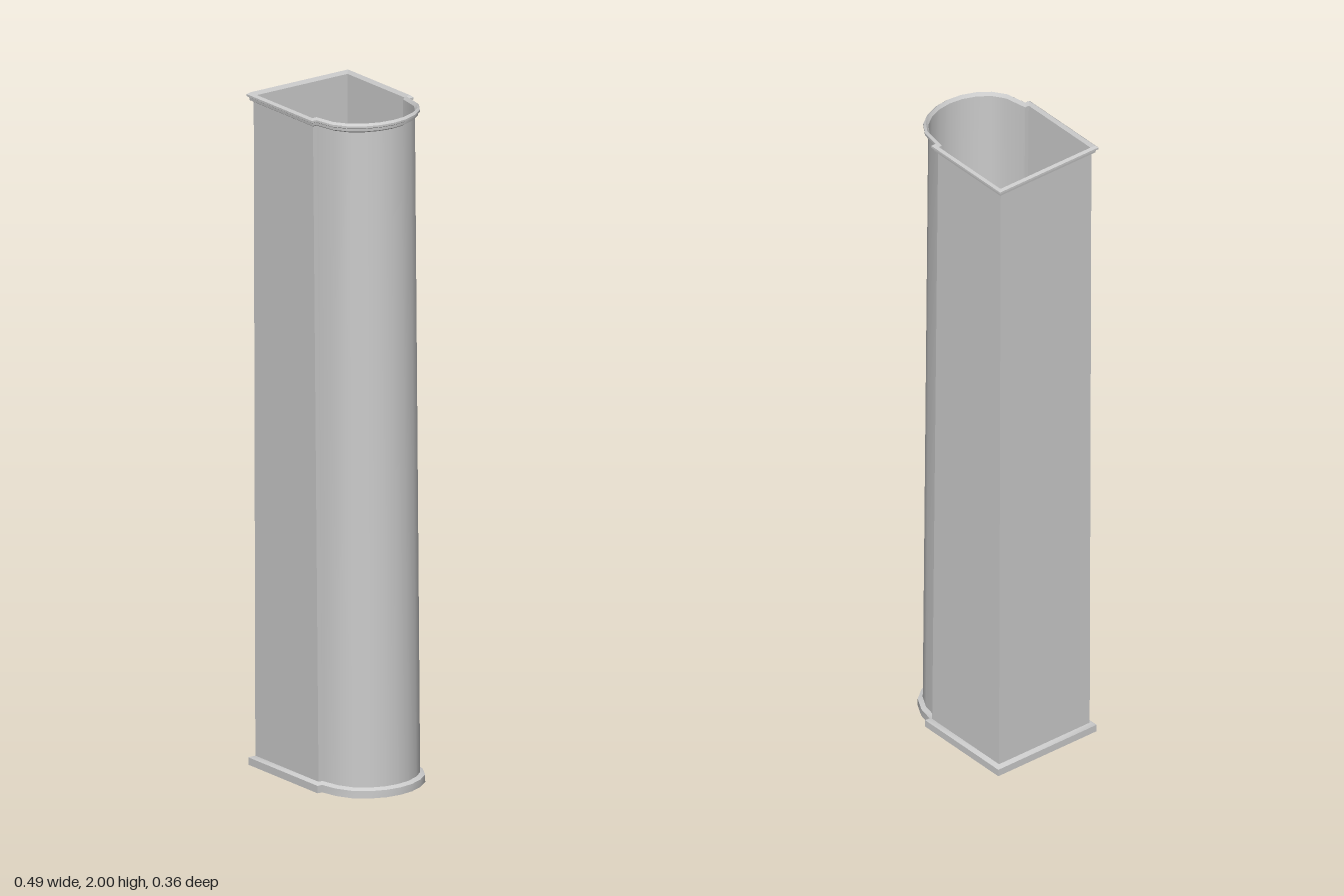
import * as THREE from 'three';
import { toCreasedNormals } from 'three/addons/utils/BufferGeometryUtils.js';

const HEIGHT = 2;

// Half outline from the flat end, past the small step, to the crown: [x at bottom, x at top, z]
const half = [
  [-0.221, -0.229, 0.166],
  [0.077, 0.050, 0.166],
  [0.077, 0.050, 0.153],
  [0.136, 0.119, 0.140],
  [0.180, 0.155, 0.116],
  [0.206, 0.180, 0.082],
  [0.223, 0.196, 0.041],
  [0.228, 0.201, 0],
];
const outline = [...half, ...half.slice(0, -1).reverse().map(([b, t, z]) => [b, t, -z])];

// Closed outline at a height, pushed outwards with mitred corners
function ring(y, offset) {
  const pts = outline.map(([b, t, z]) => new THREE.Vector2(THREE.MathUtils.lerp(b, t, y / HEIGHT), z));
  const n = pts.length;
  const normals = pts.map((p, i) => {
    const d = pts[(i + 1) % n].clone().sub(p).normalize();
    return new THREE.Vector2(-d.y, d.x);
  });
  return pts.map((p, i) => {
    const a = normals[(i + n - 1) % n], b = normals[i];
    const q = p.clone().addScaledVector(a.clone().add(b), offset / (1 + a.dot(b)));
    return [q.x, y, q.y];
  });
}

// Skin a profile of [height, outward offset] around the outline
function sweep(name, profile, material) {
  const rings = profile.map(([y, o]) => ring(y, o));
  const n = outline.length;
  const index = [];
  for (let j = 0; j < rings.length - 1; j++) {
    for (let i = 0; i < n; i++) {
      const k = (i + 1) % n;
      const a = j * n + i, b = j * n + k, c = b + n, d = a + n;
      index.push(a, b, c, a, c, d);
    }
  }
  const geometry = new THREE.BufferGeometry();
  geometry.setAttribute('position', new THREE.Float32BufferAttribute(rings.flat(2), 3));
  geometry.setIndex(index);
  const mesh = new THREE.Mesh(toCreasedNormals(geometry, THREE.MathUtils.degToRad(38)), material);
  mesh.name = name;
  return mesh;
}

export function createModel() {
  const group = new THREE.Group();
  group.name = 'column';
  const stone = new THREE.MeshStandardMaterial({ color: 0xcccccc, side: THREE.DoubleSide });
  stone.name = 'pale grey';

  // Hollow leaning shaft, open at both ends
  group.add(sweep('shaft', [[0, 0], [1.99, 0]], stone));

  // Base moulding: upright band with a bevel on top
  group.add(sweep('baseMoulding', [[0, 0], [0, 0.014], [0.022, 0.014], [0.028, 0]], stone));

  // Top moulding: flared underside, narrow band and a ridged rim
  group.add(sweep('topMoulding', [
    [1.972, 0], [1.977, 0.008], [1.985, 0.009], [1.988, 0.014], [1.994, 0.014], [2, 0.007], [1.99, 0],
  ], stone));

  return group;
}
